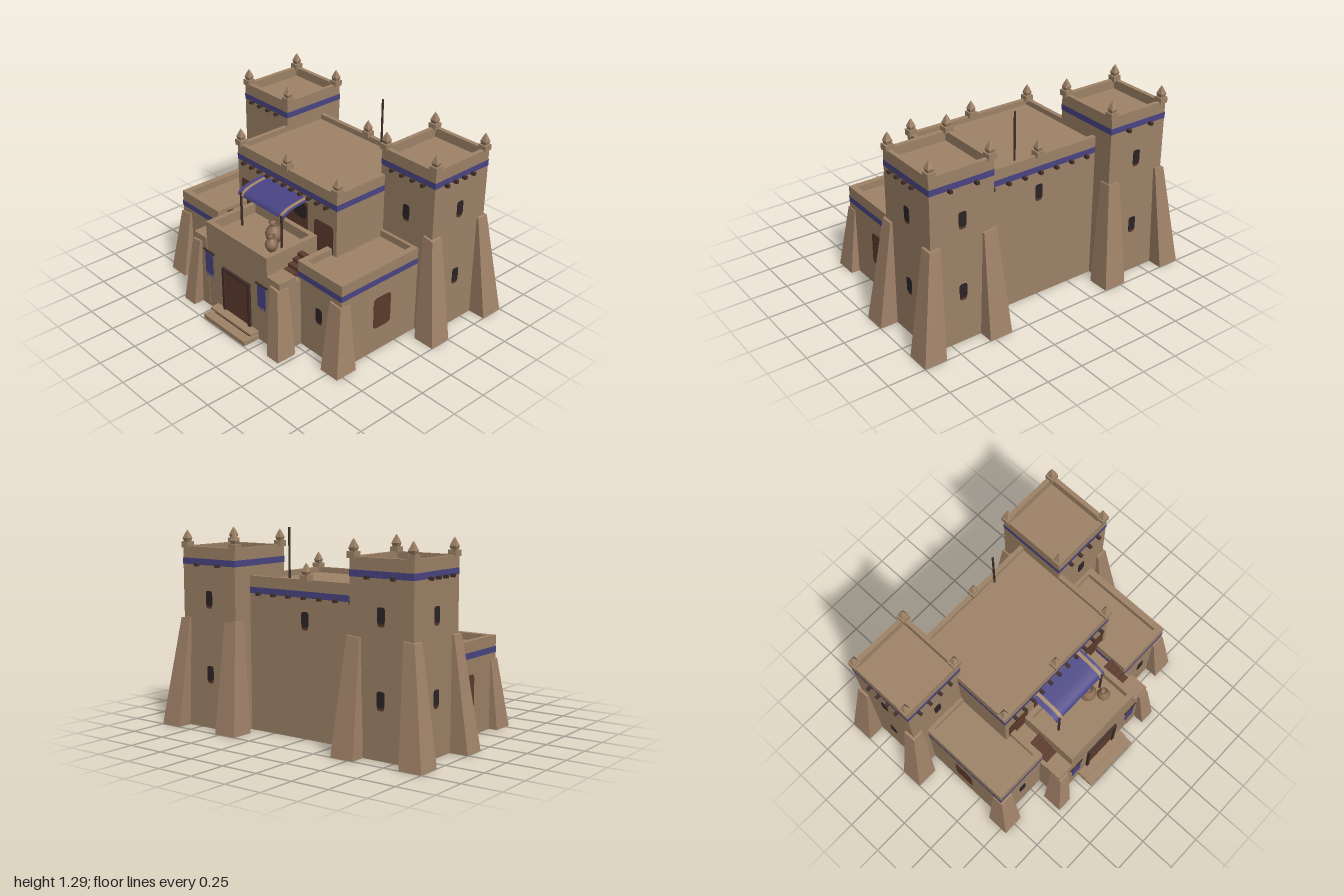
import * as THREE from 'three';

const mat = (name, color, extra = {}) => {
  const m = new THREE.MeshStandardMaterial({ color, ...extra });
  m.name = name;
  return m;
};

export function createModel() {
  const two = { side: THREE.DoubleSide };
  const M = {
    clay: mat('clay wall', 0x9e8367, two),
    buttress: mat('rosy clay', 0xa3846a, two),
    blue: mat('blue paint', 0x4a4585, two),
    trim: mat('tan cloth', 0xa58a68, two),
    door: mat('red brown wood', 0x5e3b2d),
    wood: mat('dark wood', 0x42302a),
    dark: mat('window dark', 0x2c2427),
    pot: mat('pottery', 0x8f6f55, two),
  };
  const root = new THREE.Group();
  root.name = 'mudBrickFort';

  const add = (name, geo, m, x = 0, y = 0, z = 0, ry = 0) => {
    const mesh = new THREE.Mesh(geo, m);
    mesh.name = name;
    mesh.position.set(x, y, z);
    mesh.rotation.y = ry;
    root.add(mesh);
    return mesh;
  };

  // Remove the listed faces of a box (+x, -x, +y, -y, +z, -z)
  const FACES = ['+x', '-x', '+y', '-y', '+z', '-z'];
  const open = (geo, drop) => {
    const idx = Array.from(geo.index.array);
    geo.setIndex(idx.filter((_, i) => !drop.includes(FACES[Math.floor(i / 6)])));
    geo.clearGroups();
    return geo;
  };

  // Box given by its limits
  const box = (name, m, x0, x1, y0, y1, z0, z1, drop = []) =>
    add(name, open(new THREE.BoxGeometry(Math.abs(x1 - x0), y1 - y0, z1 - z0), drop), m,
      (x0 + x1) / 2, (y0 + y1) / 2, (z0 + z1) / 2);

  // Hollow block, open below, with a sunken roof inside a parapet
  const block = (name, x0, x1, z0, z1, top, floor, t, base = 0, drop = ['-y']) => {
    box(name, M.clay, x0, x1, base, floor, z0, z1, drop);
    const w = Math.abs(x1 - x0) / 2, d = (z1 - z0) / 2;
    const rect = (P, a, b) => {
      const p = new P();
      p.moveTo(-a, -b); p.lineTo(a, -b); p.lineTo(a, b); p.lineTo(-a, b); p.closePath();
      return p;
    };
    const shape = rect(THREE.Shape, w, d);
    shape.holes.push(rect(THREE.Path, w - t, d - t));
    const geo = new THREE.ExtrudeGeometry(shape, { depth: top - floor, bevelEnabled: false });
    geo.rotateX(-Math.PI / 2);
    add(name + 'Parapet', geo, M.clay, (x0 + x1) / 2, floor, (z0 + z1) / 2);
  };

  // Painted band on both faces of a block's walls
  const band = (name, x0, x1, y0, y1, z0, z1) => {
    for (const e of [-0.002, 0.002])
      box(name, M.blue, Math.min(x0, x1) - e, Math.max(x0, x1) + e, y0, y1, z0 - e, z1 + e, ['+y', '-y']);
  };

  // Leaning corner buttress: base and top rectangles as [x0, x1, z0, z1]
  const buttress = (name, s, base, top, h) => {
    const geo = open(new THREE.BoxGeometry(1, 1, 1), ['-y']);
    const p = geo.attributes.position;
    for (let i = 0; i < p.count; i++) {
      const up = p.getY(i) > 0;
      const r = up ? top : base;
      const xs = [s * r[0], s * r[1]].sort((a, b) => a - b);
      const x = xs[p.getX(i) > 0 ? 1 : 0];
      const outer = Math.abs(x) === Math.max(r[0], r[1]);
      p.setXYZ(i, x, up ? h - (outer ? 0.01 : 0) : 0, r[p.getZ(i) > 0 ? 3 : 2]);
    }
    geo.computeVertexNormals();
    add(name, geo, M.buttress);
  };

  // Thin plate with rounded corners set into a wall, facing +z before turning by ry
  const plate = (name, m, x, y, z, w, h, r, ry = 0, out = 0.002) => {
    const s = new THREE.Shape(), a = w / 2, b = h / 2;
    s.moveTo(-a + r, -b);
    s.lineTo(a - r, -b); s.quadraticCurveTo(a, -b, a, -b + r);
    s.lineTo(a, b - r); s.quadraticCurveTo(a, b, a - r, b);
    s.lineTo(-a + r, b); s.quadraticCurveTo(-a, b, -a, b - r);
    s.lineTo(-a, -b + r); s.quadraticCurveTo(-a, -b, -a + r, -b);
    const geo = new THREE.ExtrudeGeometry(s, { depth: 0.004 + out, bevelEnabled: false, curveSegments: 4 });
    geo.translate(0, 0, -0.004);
    add(name, geo, m, x, y, z, ry);
  };
  const slit = (x, y, z, ry = 0) => {
    plate('windowSill', M.door, x, y - 0.012, z, 0.048, 0.1, 0.016, ry);
    plate('window', M.dark, x, y + 0.002, z, 0.052, 0.095, 0.016, ry, 0.004);
  };

  // Pinnacle: square foot and pointed four-sided tip
  const tip = new THREE.LatheGeometry(
    [[0.022, 0], [0.031, 0.022], [0.014, 0.055], [0, 0.076]].map(q => new THREE.Vector2(...q)), 4
  ).toNonIndexed();
  tip.rotateY(Math.PI / 4);
  tip.computeVertexNormals();
  const pinnacle = (x, y, z) => {
    box('pinnacleFoot', M.clay, x - 0.028, x + 0.028, y - 0.01, y + 0.028, z - 0.028, z + 0.028);
    add('pinnacle', tip, M.clay, x, y + 0.027, z);
  };

  // Projecting roof beam end
  const beam = (x, y, z, dx, dz) =>
    add('beamEnd', new THREE.BoxGeometry(dx ? 0.06 : 0.02, 0.02, dz ? 0.06 : 0.02), M.wood, x, y, z);

  // Main hall, open towards the gatehouse below the terrace
  block('mainHall', -0.47, 0.47, -0.51, 0.218, 0.985, 0.95, 0.03, 0.48);
  box('mainHallBase', M.clay, -0.47, 0.47, 0, 0.48, -0.51, 0.218, ['+y', '-y', '+z']);
  band('mainBand', -0.47, 0.47, 0.875, 0.915, -0.51, 0.218);
  for (let i = -5; i <= 5; i++) beam(i * 0.078, 0.875, 0.22, 0, 1);
  for (let i = -3; i <= 3; i++) beam(i * 0.12, 0.875, -0.51, 0, 1);
  for (const x of [-0.455, 0, 0.455]) pinnacle(x, 0.985, 0.2);
  pinnacle(0, 0.985, -0.495);
  slit(0, 0.74, -0.51, Math.PI);
  plate('terraceDoorway', M.door, 0, 0.69, 0.218, 0.42, 0.26, 0.01);
  add('roofPole', new THREE.CylinderGeometry(0.007, 0.007, 0.36, 8), M.wood, 0.155, 1.115, -0.465);

  for (const s of [-1, 1]) {
    const side = s * Math.PI / 2;

    // Rear towers
    block('tower', s * 0.44, s * 0.88, -0.65, -0.18, 1.16, 1.1, 0.03);
    band('towerBand', s * 0.44, s * 0.88, 1.046, 1.086, -0.65, -0.18);
    for (const x of [0.455, 0.86]) for (const z of [-0.63, -0.2]) pinnacle(s * x, 1.16, z);
    for (let i = 0; i < 4; i++) {
      beam(s * (0.54 + i * 0.085), 1.047, -0.18, 0, 1);
      beam(s * 0.878, 1.047, -0.5 + i * 0.077, 1, 0);
    }
    for (const x of [0.57, 0.75]) beam(s * x, 1.047, -0.65, 0, 1);
    slit(s * 0.66, 0.805, -0.18);
    for (const y of [0.355, 0.835]) {
      slit(s * 0.88, y, -0.415, side);
      slit(s * 0.66, y, -0.65, Math.PI);
    }
    buttress('towerButtressFront', s, [0.85, 1, -0.255, -0.105], [0.82, 0.895, -0.25, -0.165], 0.71);
    buttress('towerButtressBack', s, [0.85, 1, -0.75, -0.59], [0.82, 0.895, -0.665, -0.585], 0.71);
    buttress('towerButtressInner', s, [0.535, 0.375, -0.75, -0.6], [0.52, 0.43, -0.665, -0.585], 0.71);

    // Front wings
    block('wing', s * 0.39, s * 0.775, -0.2, 0.46, 0.6, 0.555, 0.042, 0, ['-y', '-z']);
    band('wingBand', s * 0.39, s * 0.775, 0.49, 0.53, -0.2, 0.46);
    slit(s * 0.58, 0.295, 0.46);
    plate('sideNiche', M.door, s * 0.775, 0.278, 0.12, 0.145, 0.22, 0.03, side);
    buttress('wingButtress', s, [0.69, 0.835, 0.39, 0.545], [0.685, 0.78, 0.395, 0.472], 0.46);
    plate('hallNiche', M.door, s * 0.355, 0.64, 0.218, 0.17, 0.22, 0.03);
    plate('terraceOpening', M.dark, s * 0.14, 0.755, 0.218, 0.12, 0.11, 0.04, 0, 0.004);

    // Passage and wooden stair beside the gate
    box('passage', M.clay, s * 0.297, s * 0.39, 0, 0.49, 0.218, 0.5, ['+x', '-x', '-y', '-z']);
    for (let i = 0; i < 4; i++)
      box('stairStep', M.door, s * 0.3, s * 0.389, 0.485, 0.515 + i * 0.022, 0.46 - i * 0.038, 0.498 - i * 0.038);

    // Gate shoulders
    box('gateShoulder', M.clay, s * 0.29, s * 0.415, 0, 0.475, 0.46, 0.628, ['-y']);
    box('shoulderCap', M.clay, s * 0.3, s * 0.42, 0.475, 0.515, 0.5, 0.632);
    buttress('gateButtress', s, [0.37, 0.475, 0.56, 0.7], [0.345, 0.42, 0.56, 0.645], 0.475);

    // Hanging banners
    box('bannerRod', M.wood, s * 0.205, s * 0.318, 0.43, 0.439, 0.636, 0.645);
    box('banner', M.blue, s * 0.222, s * 0.298, 0.27, 0.432, 0.638, 0.643);
    for (let i = 0; i < 4; i++)
      box('bannerTassel', M.blue, s * (0.232 + i * 0.017), s * (0.236 + i * 0.017), 0.25, 0.27, 0.638, 0.642);

    // Awning posts
    add('awningPost', new THREE.CylinderGeometry(0.008, 0.008, 0.24, 8), M.wood, s * 0.195, 0.685, 0.418);
  }

  // Gatehouse, door and steps
  block('gatehouse', -0.297, 0.297, 0.218, 0.625, 0.635, 0.57, 0.035, 0, ['-y', '-z']);
  box('doorLeaf', M.door, -0.118, 0.118, 0.06, 0.36, 0.62, 0.631);
  for (const s of [-1, 1]) box('doorJamb', M.wood, s * 0.115, s * 0.135, 0.03, 0.375, 0.62, 0.642);
  box('doorLintel', M.wood, -0.135, 0.135, 0.358, 0.375, 0.62, 0.642);
  box('lowerStep', M.clay, -0.205, 0.205, 0, 0.03, 0.62, 0.745);
  box('stepRiser', M.wood, -0.17, 0.17, 0.03, 0.045, 0.62, 0.682);
  box('upperStep', M.clay, -0.205, 0.205, 0.045, 0.06, 0.62, 0.69);

  // Curved cloth awning in strips
  const curve = new THREE.CatmullRomCurve3(
    [[0.215, 0.853], [0.3, 0.842], [0.37, 0.828], [0.408, 0.808], [0.42, 0.785]]
      .map(([z, y]) => new THREE.Vector3(0, y, z)));
  const strip = (name, m, x0, x1, lift) => {
    const geo = new THREE.PlaneGeometry(x1 - x0, 1, 1, 12);
    const p = geo.attributes.position;
    for (let i = 0; i < p.count; i++) {
      const q = curve.getPoint(0.5 - p.getY(i));
      p.setXYZ(i, p.getX(i) + (x0 + x1) / 2, q.y + lift, q.z + lift);
    }
    geo.computeVertexNormals();
    add(name, geo, m);
  };
  strip('awning', M.blue, -0.225, 0.22, 0);
  for (const x of [-0.18, 0.19]) strip('awningStripe', M.trim, x - 0.012, x + 0.012, 0.002);

  // Clay jars on the terrace
  const jar = (x, z, r, h) => {
    const pts = [[0, 0], [0.5, 0], [0.9, 0.25], [1, 0.45], [0.8, 0.68], [0.45, 0.82], [0.42, 0.9], [0.58, 1], [0.36, 0.97], [0.3, 0.8]];
    add('jar', new THREE.LatheGeometry(pts.map(([a, b]) => new THREE.Vector2(a * r, b * h)), 16), M.pot, x, 0.57, z);
  };
  jar(0.1, 0.4, 0.056, 0.145);
  jar(0.165, 0.475, 0.042, 0.105);

  return root;
}
